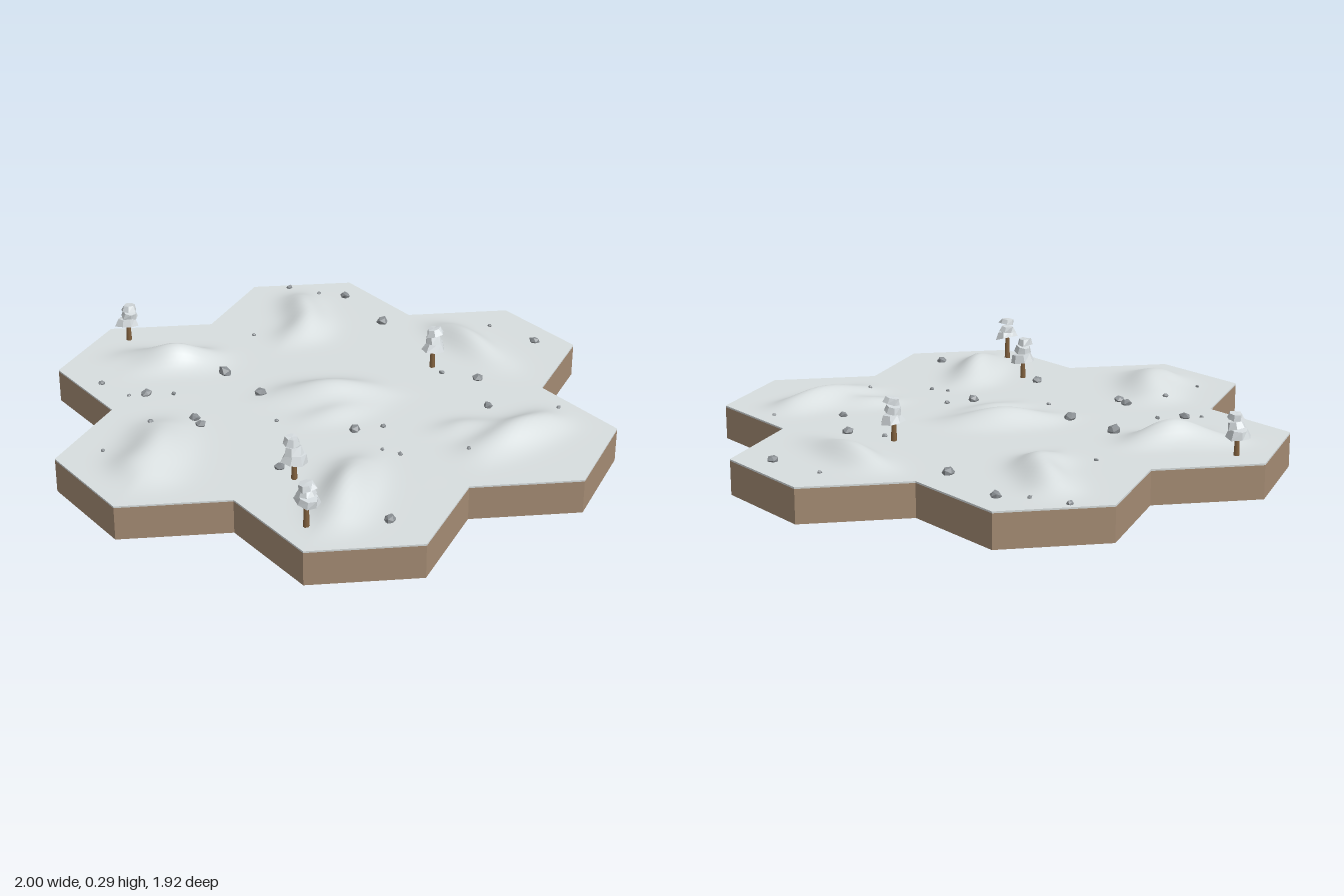
import * as THREE from 'three';
import { mergeVertices } from 'three/addons/utils/BufferGeometryUtils.js';

const APOTHEM = 1 / 3;
const RADIUS = APOTHEM / Math.cos(Math.PI / 6);
const BASE_TOP = 0.118;
const SNOW_TOP = 0.124;
const DEG = Math.PI / 180;

const material = (name, color) => {
  const m = new THREE.MeshStandardMaterial({ color });
  m.name = name;
  return m;
};

// Small seeded generator
function seeded(seed) {
  let s = seed * 7919 + 17;
  return () => (s = (s * 16807) % 2147483647) / 2147483647;
}

// Tile centres: one in the middle, six around it
const ring = Array.from({ length: 6 }, (_, k) => [
  2 * APOTHEM * Math.cos(k * 60 * DEG), 2 * APOTHEM * Math.sin(k * 60 * DEG)]);
const tiles = [[0, 0], ...ring];

// Snow drifts: x, z, length, width, direction in degrees, height
const drifts = [
  [-0.70, -0.03, 0.20, 0.09, -52, 0.052],
  [-0.84, 0.02, 0.10, 0.08, -50, 0.020],
  [-0.31, -0.60, 0.15, 0.07, 45, 0.050],
  [-0.25, -0.56, 0.15, 0.06, 10, 0.030],
  [0.34, -0.63, 0.17, 0.07, -62, 0.052],
  [0.23, -0.50, 0.12, 0.07, -25, 0.026],
  [0.68, -0.05, 0.18, 0.07, -85, 0.054],
  [0.02, -0.03, 0.17, 0.08, 30, 0.052],
  [-0.05, 0.11, 0.12, 0.06, 10, 0.020],
  [-0.35, 0.57, 0.20, 0.075, -42, 0.066],
  [0.36, 0.60, 0.20, 0.075, -5, 0.054],
  [0.25, 0.46, 0.12, 0.06, 30, 0.022],
];

// Height of the snow; every tile settles to flat at its edges
function snowHeight(x, z) {
  let edge = 0;
  for (const [cx, cz] of tiles) {
    let d = 0;
    for (let k = 0; k < 3; k++) {
      const a = k * 60 * DEG;
      d = Math.max(d, Math.abs((x - cx) * Math.cos(a) + (z - cz) * Math.sin(a)));
    }
    edge = Math.max(edge, APOTHEM - d);
  }
  let h = 0;
  for (const [dx, dz, len, wid, dir, amp] of drifts) {
    const c = Math.cos(dir * DEG), s = Math.sin(dir * DEG);
    const u = ((x - dx) * c + (z - dz) * s) / len;
    const v = ((z - dz) * c - (x - dx) * s) / wid;
    h += amp * Math.exp(-u * u - v * v);
  }
  return SNOW_TOP + 0.0005 + h * THREE.MathUtils.smoothstep(edge, 0, 0.17);
}

// Triangular lattice over every tile, welded for smooth shading
function snowGeometry() {
  const n = 18, pos = [];
  const put = (cx, cz, i, j) => {
    const x = cx + APOTHEM * (j / n);
    const z = cz + RADIUS * (i / n + j / n / 2);
    pos.push(x, snowHeight(x, z), z);
  };
  const inside = (i, j) => Math.max(Math.abs(i), Math.abs(j), Math.abs(i + j)) <= n;
  for (const [cx, cz] of tiles) {
    for (let i = -n; i <= n; i++) for (let j = -n; j <= n; j++) {
      if (inside(i + 1, j) && inside(i, j + 1) && inside(i, j)) {
        put(cx, cz, i, j); put(cx, cz, i + 1, j); put(cx, cz, i, j + 1);
      }
      if (inside(i + 1, j) && inside(i, j + 1) && inside(i + 1, j + 1)) {
        put(cx, cz, i + 1, j); put(cx, cz, i + 1, j + 1); put(cx, cz, i, j + 1);
      }
    }
  }
  let g = new THREE.BufferGeometry();
  g.setAttribute('position', new THREE.Float32BufferAttribute(pos, 3));
  g = mergeVertices(g, 1e-4);
  g.computeVertexNormals();
  return g;
}

// Slab with the outline of the joined tiles
function slabGeometry(y0, y1) {
  const pts = [];
  ring.forEach(([cx, cz], k) => {
    for (const a of [-90, -30, 30]) {
      const t = (60 * k + a) * DEG;
      pts.push(new THREE.Vector2(cx + RADIUS * Math.cos(t), cz + RADIUS * Math.sin(t)));
    }
  });
  return new THREE.ExtrudeGeometry(new THREE.Shape(pts), { depth: y1 - y0, bevelEnabled: false })
    .rotateX(-Math.PI / 2).translate(0, y0, 0);
}

// Faceted lump: a solid with its corners pushed in and out
function lump(geometry, seed, amount) {
  const rand = seeded(seed);
  geometry.deleteAttribute('uv');
  geometry.deleteAttribute('normal');
  const g = mergeVertices(geometry, 1e-3);
  const p = g.attributes.position;
  for (let i = 0; i < p.count; i++) {
    const f = 1 + (rand() - 0.5) * amount;
    p.setXYZ(i, p.getX(i) * f, p.getY(i) * f, p.getZ(i) * f);
  }
  const flat = g.toNonIndexed();
  flat.computeVertexNormals();
  return flat;
}

// Rocks: x, z, radius
const rocks = [
  [0.44, -0.87, 0.012], [0.5, -0.75, 0.008], [0.57, -0.67, 0.021], [0.075, -0.59, 0.008],
  [0.54, -0.39, 0.023], [-0.19, -0.385, 0.025], [-0.18, -0.17, 0.023], [-0.43, -0.355, 0.01],
  [-0.51, -0.41, 0.019], [-0.565, -0.44, 0.007], [-0.595, -0.58, 0.011], [-0.62, -0.2, 0.01],
  [-0.47, -0.15, 0.018], [-0.48, -0.1, 0.018], [-0.845, -0.14, 0.008], [-0.25, 0.03, 0.008],
  [-0.07, 0.245, 0.02], [0.025, 0.28, 0.01], [-0.43, 0.305, 0.019], [-0.08, 0.41, 0.007],
  [-0.05, 0.47, 0.009], [-0.34, 0.785, 0.02], [0.145, 0.595, 0.008], [0.605, 0.54, 0.008],
  [0.415, 0.38, 0.017], [0.525, 0.195, 0.02], [0.45, 0.08, 0.011], [0.9, 0.085, 0.019],
  [0.855, -0.12, 0.008],
];

// Trees: x, z, underside of crown, top of crown
const trees = [
  [-0.575, 0.66, 0.2, 0.295], [-0.43, 0.39, 0.175, 0.29],
  [0.455, 0.02, 0.18, 0.29], [-0.325, -0.84, 0.175, 0.28],
];

export function createModel() {
  const model = new THREE.Group();
  model.name = 'snowyHexTerrain';
  const earth = material('earth', 0xa58c74);
  const snow = material('snow', 0xd8dedf);
  const stone = material('stone', 0x8b9094);
  const frost = material('frostedFoliage', 0xd3d9dc);
  const bark = material('bark', 0x83623f);
  const add = (parent, name, geometry, mat) => {
    const mesh = new THREE.Mesh(geometry, mat);
    mesh.name = name;
    parent.add(mesh);
    return mesh;
  };

  add(model, 'earthBase', slabGeometry(0, BASE_TOP), earth);
  add(model, 'snowRim', slabGeometry(BASE_TOP, SNOW_TOP), snow);
  add(model, 'snowField', snowGeometry(), snow);

  rocks.forEach(([x, z, r], i) => {
    const rock = add(model, 'rock', lump(new THREE.IcosahedronGeometry(1, 0), i + 3, 0.4), stone);
    rock.scale.set(r, r * 0.85, r * 1.1);
    rock.rotation.y = i * 1.3;
    rock.position.set(x, snowHeight(x, z) + r * 0.25, z);
  });

  trees.forEach(([x, z, low, high], i) => {
    const tree = new THREE.Group();
    tree.name = 'tree';
    tree.position.set(x, 0, z);
    model.add(tree);
    const ground = snowHeight(x, z) - 0.01;
    const height = low + 0.03 - ground;
    add(tree, 'trunk', new THREE.CylinderGeometry(0.007, 0.011, height, 6), bark)
      .position.y = ground + height / 2;
    // Crown of three tilted clumps, smaller towards the top
    const rand = seeded(i + 41);
    const size = high - low;
    [[0.25, 0.045, 0.26], [0.52, 0.035, 0.22], [0.8, 0.032, 0.2]].forEach(([t, r, h], k) => {
      const clump = add(tree, 'crown', lump(new THREE.CylinderGeometry(0.72, 1, 2, 7), i * 5 + k + 9, 0.3), frost);
      clump.scale.set(r, (size * h) / 2, r * 0.92);
      clump.rotation.set((rand() - 0.5) * 0.5, rand() * 6, (rand() - 0.5) * 0.5);
      clump.position.set((rand() - 0.5) * 0.014, low + size * t, (rand() - 0.5) * 0.014);
    });
  });
  return model;
}
